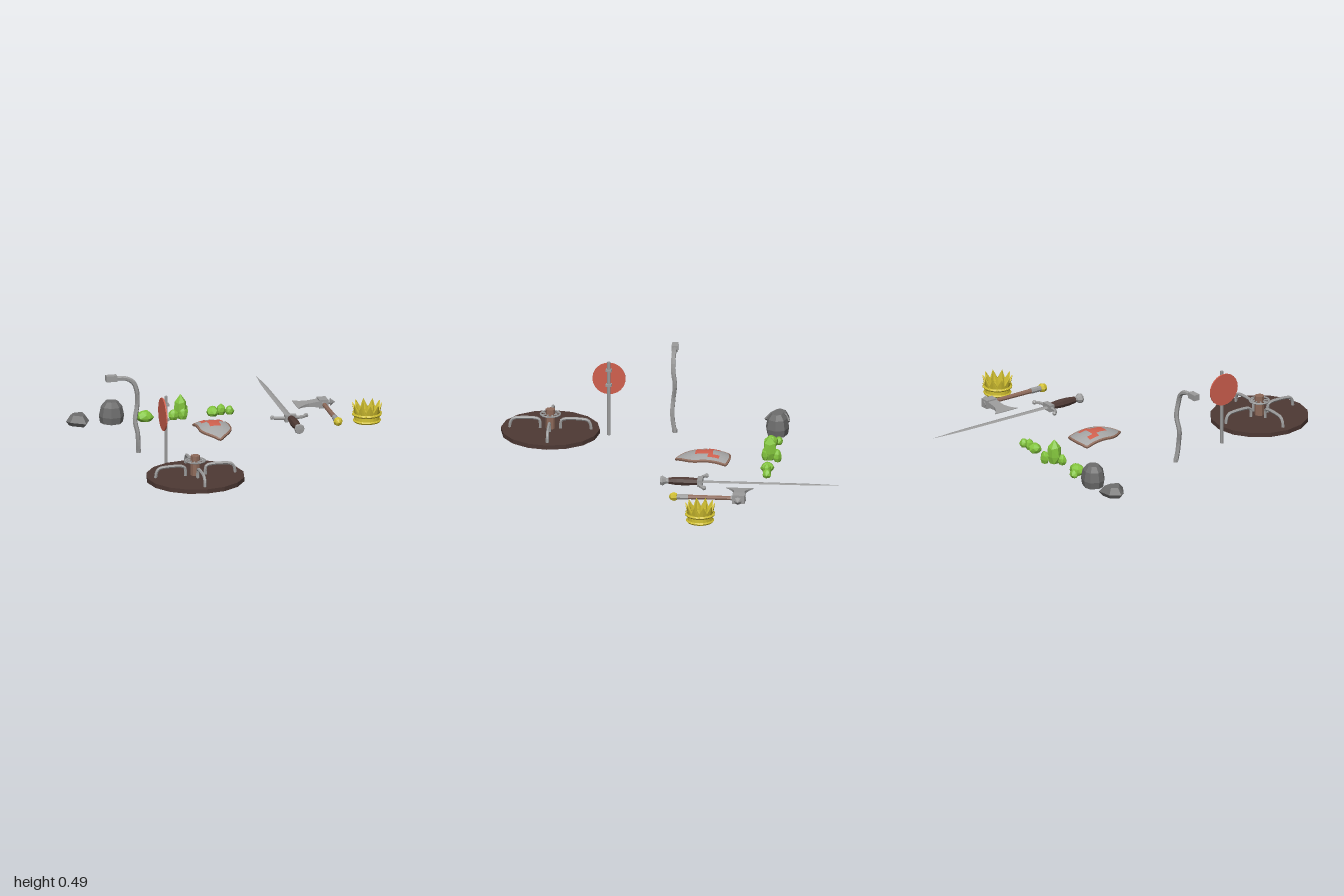
import * as THREE from 'three';
import { ConvexGeometry } from 'three/addons/geometries/ConvexGeometry.js';
import { ParametricGeometry } from 'three/addons/geometries/ParametricGeometry.js';

const V2 = (p) => p.map(([x, y]) => new THREE.Vector2(x, y));
const V3 = (p) => p.map(([x, y, z]) => new THREE.Vector3(x, y, z));
const mat = (color) => new THREE.MeshStandardMaterial({ color, flatShading: true, side: THREE.DoubleSide });
const metal = mat(0x9c9c9c), stone = mat(0x6d6d6d), gold = mat(0xd0bf30), green = mat(0x82c43c);
const red = mat(0xd0604e), dark = mat(0x4e3934), wood = mat(0x8f6b5b), field = mat(0xa6a6a6);

function add(parent, name, geo, material, x = 0, y = 0, z = 0) {
  const m = new THREE.Mesh(geo, material);
  m.name = name;
  m.position.set(x, y, z);
  parent.add(m);
  return m;
}
function group(parent, name, x = 0, y = 0, z = 0) {
  const g = new THREE.Group();
  g.name = name;
  g.position.set(x, y, z);
  parent.add(g);
  return g;
}
const box = (w, h, d) => new THREE.BoxGeometry(w, h, d);
const lathe = (pts, seg) => new THREE.LatheGeometry(V2(pts), seg);
const tube = (pts, r, n = 12, sides = 6) =>
  new THREE.TubeGeometry(new THREE.CatmullRomCurve3(V3(pts), false, 'centripetal'), n, r, sides);
function seeded(seed) {
  return () => (seed = (seed * 16807) % 2147483647) / 2147483647;
}

// Faceted lump: jittered rings [radius scale, height scale] wrapped in a hull
function lump(w, h, d, rings, seed) {
  const rnd = seeded(seed * 7919 + 13), pts = [];
  for (const [s, y] of rings) {
    const n = s < 0.1 ? 1 : 6, start = rnd() * 2;
    for (let i = 0; i < n; i++) {
      const a = start + (i / n) * Math.PI * 2, r = s * (0.88 + rnd() * 0.17) / 2;
      pts.push([Math.cos(a) * r * w, (y + (s < 0.95 && y > 0 ? (rnd() - 0.5) * 0.08 : 0)) * h, Math.sin(a) * r * d]);
    }
  }
  return new ConvexGeometry(V3(pts));
}

function merryGoRound(root) {
  const g = group(root, 'merryGoRound', -0.44, 0, 0.713);
  add(g, 'platform', new THREE.CylinderGeometry(0.279, 0.279, 0.025, 16), dark, 0, 0.0725);
  add(g, 'centrePost', new THREE.CylinderGeometry(0.027, 0.027, 0.2, 8), wood, 0, 0.1);
  const wheel = group(g, 'handWheel', 0, 0.17, 0);
  add(wheel, 'wheelRim', new THREE.TorusGeometry(0.056, 0.005, 6, 16).rotateX(Math.PI / 2), metal);
  for (let i = 0; i < 4; i++)
    add(wheel, 'wheelSpoke', box(0.112, 0.006, 0.007), metal).rotation.y = (i * Math.PI) / 4 + Math.PI / 8;
  // four bent hand rails
  const rail = tube([[0.058, 0.08, 0], [0.058, 0.118, 0], [0.064, 0.136, 0], [0.085, 0.143, 0],
    [0.18, 0.143, 0], [0.212, 0.136, 0], [0.226, 0.115, 0], [0.231, 0.08, 0]], 0.009, 20);
  for (let i = 0; i < 4; i++) add(g, 'handRail', rail, metal).rotation.y = (i * Math.PI) / 2;
}

function roundSign(root) {
  const g = group(root, 'roundSign', -0.53, 0, 0.39);
  add(g, 'signPost', new THREE.CylinderGeometry(0.009, 0.009, 0.44, 8), metal, 0, 0.238);
  add(g, 'signPlate', new THREE.CylinderGeometry(0.094, 0.094, 0.008, 24).rotateZ(Math.PI / 2), red, -0.019, 0.352);
  for (const y of [0.32, 0.408]) add(g, 'clamp', box(0.034, 0.012, 0.034), metal, -0.001, y);
}

function bentLamp(root) {
  const g = group(root, 'bentLamp');
  add(g, 'lampPole', tube([[-0.6, 0.02, 0.022], [-0.604, 0.08, 0.033], [-0.608, 0.139, 0.037], [-0.622, 0.209, 0.032],
    [-0.607, 0.303, 0.022], [-0.612, 0.383, 0.033], [-0.632, 0.437, 0.033], [-0.675, 0.464, 0.033],
    [-0.74, 0.47, 0.033]], 0.0135, 24), metal);
  add(g, 'poleFoot', new THREE.CylinderGeometry(0.015, 0.015, 0.02, 6), metal, -0.6, 0.028, 0.022);
  add(g, 'lampHead', box(0.062, 0.034, 0.036), metal, -0.76, 0.471, 0.033);
}

function rocksAndPlants(root) {
  // flat rock and tall rock, from outlines in x and z
  const rock = (name, outline, cx, cz, layers) => {
    const pts = [];
    for (const [s, y] of layers) for (const [x, z] of outline) pts.push([(x - cx) * s, y, (z - cz) * s]);
    add(root, name, new ConvexGeometry(V3(pts)), stone, cx, 0, cz);
  };
  rock('flatRock', [[-0.88, -0.55], [-0.84, -0.605], [-0.755, -0.618], [-0.747, -0.54], [-0.78, -0.47], [-0.86, -0.52]],
    -0.81, -0.56, [[0.7, 0.02], [1, 0.045], [0.6, 0.082]]);
  rock('tallRock', [[-0.685, -0.565], [-0.663, -0.612], [-0.62, -0.623], [-0.557, -0.602], [-0.542, -0.55],
    [-0.573, -0.502], [-0.63, -0.491], [-0.673, -0.523]], -0.613, -0.557, [[0.9, 0.02], [1, 0.06], [0.85, 0.115], [0.5, 0.145]]);
  // green clusters: x, z, width, height, depth
  const round = [[0.7, 0], [1, 0.35], [0.85, 0.7], [0.4, 1]];
  const pointed = [[0.7, 0], [1, 0.3], [0.85, 0.68], [0.01, 1]];
  const clusters = [
    ['smallShrub', [[-0.425, -0.537, 0.105, 0.058, 0.085, round], [-0.455, -0.577, 0.058, 0.042, 0.05, round]]],
    ['tallShrub', [[-0.217, -0.545, 0.08, 0.138, 0.085, pointed], [-0.188, -0.59, 0.062, 0.065, 0.055, round],
      [-0.262, -0.523, 0.065, 0.055, 0.05, round], [-0.21, -0.522, 0.06, 0.075, 0.05, pointed]]],
    ['lowShrub', [[-0.03, -0.545, 0.078, 0.05, 0.082, round], [0.02, -0.548, 0.058, 0.066, 0.05, pointed],
      [0.07, -0.55, 0.055, 0.045, 0.055, round]]]];
  let seed = 3;
  for (const [name, list] of clusters) {
    const g = group(root, name);
    for (const [x, z, w, h, d, rings] of list) add(g, 'leafLump', lump(w, h, d, rings, seed++), green, x, 0.02, z);
  }
}

function shield(root) {
  const g = group(root, 'shield', -0.113, 0, 0);
  const dome = (x, z) => 0.094 - 2.4 * x * x - 1.6 * (z + 0.19) ** 2;
  // s runs across from -1 to 1, v from the top edge to the tip
  const point = (s, v, lift, out) => {
    const z = -0.325 + v * 0.302;
    const t = Math.max(0, (z + 0.16) / 0.137);
    const x = s * 0.087 * (1 - Math.min(1, t) ** 1.9);
    const zz = z + 0.02 * s * s * (1 - v);
    return out.set(x, dome(x, zz) + lift, zz);
  };
  const face = (lift) => new ParametricGeometry((u, v, out) => point(u * 2 - 1, v, lift, out), 8, 14);
  add(g, 'shieldFace', face(0), field);
  add(g, 'shieldBack', face(-0.014), dark);
  const edge = [];
  const mark = (s, v) => edge.push(point(s, v, -0.006, new THREE.Vector3()));
  for (let i = 0; i <= 6; i++) mark(-1 + i / 3, 0);
  for (let i = 1; i <= 14; i++) mark(1, i / 14);
  for (let i = 13; i > 0; i--) mark(-1, i / 14);
  add(g, 'shieldRim', new THREE.TubeGeometry(new THREE.CatmullRomCurve3(edge, true, 'centripetal'), 64, 0.0085, 5, true), wood);
  // painted blocks following the dome: x0, x1, z0, z1
  for (const [x0, x1, z0, z1] of [[-0.064, -0.034, -0.27, -0.205], [0.034, 0.064, -0.27, -0.205],
    [-0.034, 0.034, -0.232, -0.187], [-0.032, 0.032, -0.187, -0.132]])
    add(g, 'paintedBlock', new ParametricGeometry((u, v, out) => {
      const x = x0 + (x1 - x0) * u, z = z0 + (z1 - z0) * v;
      out.set(x, dome(x, z) + 0.004, z);
    }, 4, 4), red);
}

function sword(root) {
  const g = group(root, 'sword', 0.335, 0.085, 0);
  const blade = lathe([[0, 0], [0.019, 0], [0.015, 0.55], [0.011, 0.66], [0, 0.8]], 4).rotateX(-Math.PI / 2).scale(1, 0.25, 1);
  add(g, 'blade', blade, metal, 0, 0, -0.2);
  add(g, 'guardBlock', box(0.066, 0.04, 0.03), metal, 0, 0, -0.193);
  for (const s of [-1, 1]) {
    add(g, 'guardArm', tube([[s * 0.02, 0, -0.193], [s * 0.055, 0, -0.196], [s * 0.083, 0, -0.205], [s * 0.097, 0, -0.222]], 0.01, 8), metal);
    add(g, 'guardEnd', new THREE.IcosahedronGeometry(0.014, 0), metal, s * 0.098, 0, -0.222);
  }
  const turned = (name, pts, m) => add(g, name, lathe(pts, 8).rotateX(Math.PI / 2), m);
  turned('grip', [[0, -0.18], [0.02, -0.18], [0.026, -0.11], [0.025, -0.06], [0.019, -0.015], [0, -0.015]], dark);
  turned('pommel', [[0, -0.018], [0.018, -0.018], [0.016, -0.002], [0.03, 0.02], [0.026, 0.032], [0, 0.034]], metal);
}

function axe(root) {
  const g = group(root, 'axe', 0.58, 0.085, 0);
  const turned = (name, pts, m) => add(g, name, lathe(pts, 8).rotateX(Math.PI / 2), m);
  turned('handle', [[0, -0.41], [0.012, -0.41], [0.014, -0.13], [0, -0.13]], wood);
  turned('handleSleeve', [[0, -0.145], [0.017, -0.145], [0.017, -0.07], [0, -0.07]], metal);
  turned('handleKnob', [[0, -0.083], [0.02, -0.08], [0.027, -0.064], [0.02, -0.045], [0, -0.034]], gold);
  add(g, 'headBlock', box(0.05, 0.05, 0.07), metal, 0, 0, -0.43);
  turned('headCap', [[0, -0.47], [0.016, -0.47], [0.016, -0.385], [0, -0.385]], metal);
  add(g, 'spike', lathe([[0, 0.02], [0.011, 0.02], [0.011, 0.042], [0.022, 0.045], [0, 0.072]], 8).rotateZ(-Math.PI / 2),
    metal, 0, 0, -0.428);
  // flared blade, thinned towards its cutting edge
  const shape = new THREE.Shape();
  shape.moveTo(-0.02, -0.457);
  shape.lineTo(-0.085, -0.457);
  shape.quadraticCurveTo(-0.13, -0.468, -0.158, -0.503);
  shape.quadraticCurveTo(-0.162, -0.425, -0.158, -0.347);
  shape.quadraticCurveTo(-0.13, -0.388, -0.085, -0.397);
  shape.lineTo(-0.02, -0.397);
  const geo = new THREE.ExtrudeGeometry(shape, { depth: 1, bevelEnabled: false, curveSegments: 5 })
    .translate(0, 0, -0.5).rotateX(Math.PI / 2);
  const p = geo.attributes.position;
  for (let i = 0; i < p.count; i++)
    p.setY(i, p.getY(i) * THREE.MathUtils.mapLinear(p.getX(i), -0.162, -0.02, 0.003, 0.036));
  geo.computeVertexNormals();
  add(g, 'axeBlade', geo, metal);
}

function crown(root) {
  const g = group(root, 'crown', 0.788, 0, -0.227);
  // hollow wall whose upper edge alternates between points and valleys
  const count = 20;
  const wall = lathe([[0.062, 0.085], [0.06, 0.02], [0.073, 0.02], [0.071, 0.06], [0.074, 0.085], [0.062, 0.085]], count);
  const p = wall.attributes.position;
  for (let i = 0; i < p.count; i++) {
    const tip = Math.floor(i / 6) % 2 === 0;
    if (p.getY(i) < 0.08 || !tip) continue;
    const r = Math.hypot(p.getX(i), p.getZ(i)), k = r > 0.07 ? 0.086 / r : 0.08 / r;
    p.setXYZ(i, p.getX(i) * k, 0.132, p.getZ(i) * k);
  }
  add(g, 'crownWall', wall, gold);
  for (const [y, r, t] of [[0.029, 0.072, 0.008], [0.066, 0.075, 0.009]])
    add(g, 'crownBand', new THREE.TorusGeometry(r, t, 5, count).rotateX(Math.PI / 2), gold, 0, y);
  for (let i = 0; i < 10; i++) {
    const a = ((i + 0.5) / 10) * Math.PI * 2;
    add(g, 'crownStud', new THREE.IcosahedronGeometry(0.008, 0), gold, Math.sin(a) * 0.08, 0.068, Math.cos(a) * 0.08);
  }
}

export function createModel() {
  const root = new THREE.Group();
  root.name = 'propCollection';
  for (const build of [merryGoRound, roundSign, bentLamp, rocksAndPlants, shield, sword, axe, crown]) build(root);
  return root;
}
